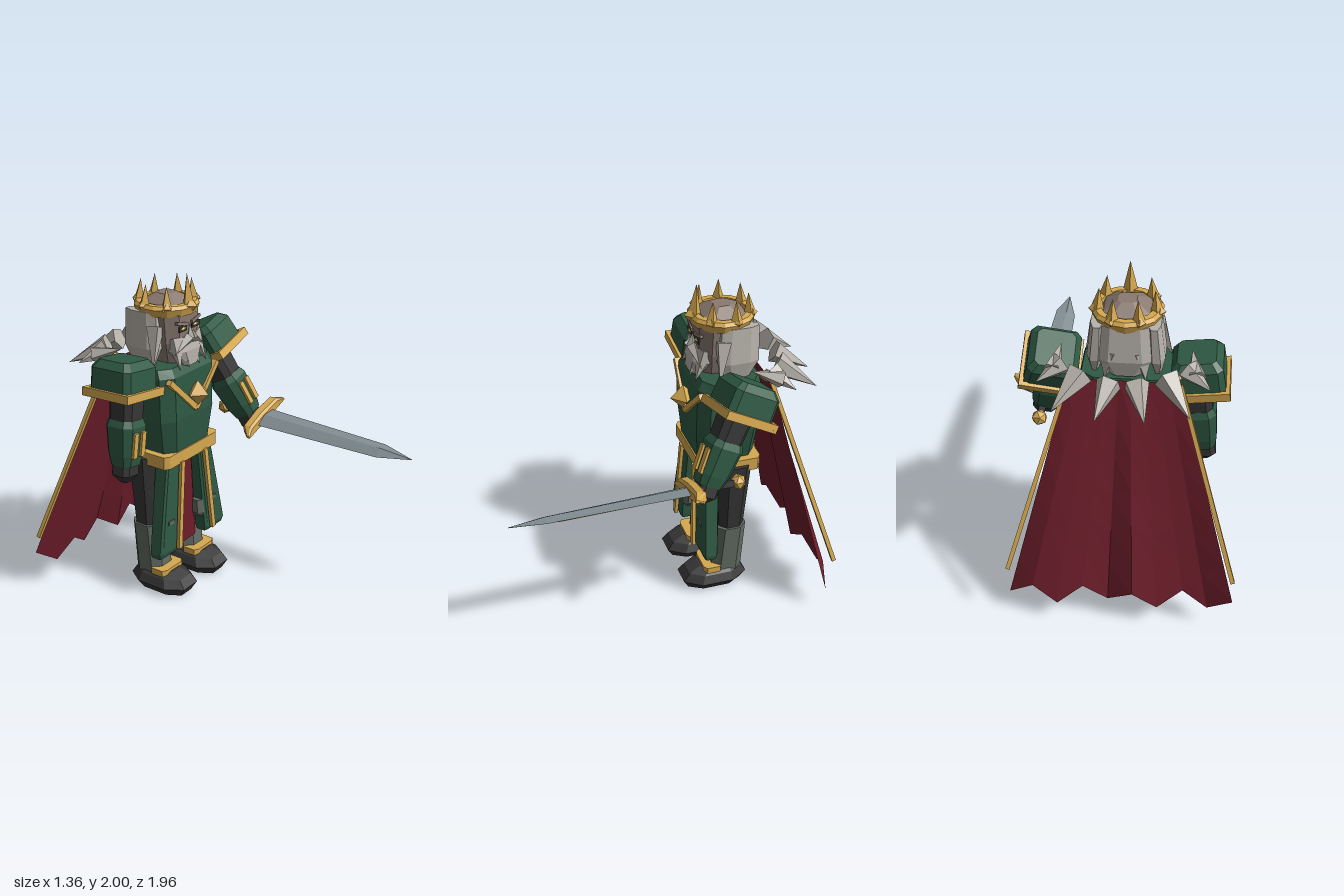
import * as THREE from 'three';

const paint = (name, color, extra = {}) =>
  new THREE.MeshStandardMaterial({ name, color, flatShading: true, ...extra });

const OCT = (k) => [[1, -k], [1, k], [k, 1], [-k, 1], [-1, k], [-1, -k], [-k, -1], [k, -1]];
const DIAMOND = [[1, 0], [0, 1], [-1, 0], [0, -1]];

// Stacked cross-sections, each ring [y, halfWidth, zCentre, halfDepth, xCentre], bottom to top.
function loft(rings, outline = OCT(0.6), s = 1) {
  const pos = [];
  const at = (r, i) => {
    const [y, hw, zc, hd, xc = 0] = r;
    const [px, pz] = outline[i % outline.length];
    return [xc * s + px * hw, y, zc + pz * hd];
  };
  const mid = (r) => [(r[4] || 0) * s, r[0], r[2]];
  const low = rings[0], top = rings[rings.length - 1];
  for (let i = 0; i < outline.length; i++) {
    for (let j = 0; j < rings.length - 1; j++) {
      const a = at(rings[j], i), b = at(rings[j + 1], i);
      const c = at(rings[j + 1], i + 1), d = at(rings[j], i + 1);
      pos.push(...a, ...b, ...c, ...a, ...c, ...d);
    }
    pos.push(...mid(top), ...at(top, i + 1), ...at(top, i));
    pos.push(...mid(low), ...at(low, i), ...at(low, i + 1));
  }
  const g = new THREE.BufferGeometry();
  g.setAttribute('position', new THREE.Float32BufferAttribute(pos, 3));
  g.computeVertexNormals();
  return g;
}

function add(parent, name, geometry, material, x = 0, y = 0, z = 0) {
  const m = new THREE.Mesh(geometry, material);
  m.name = name;
  m.position.set(x, y, z);
  parent.add(m);
  return m;
}

// Lays a y-aligned geometry, made by make(length), between two points.
function between(parent, name, a, b, material, make) {
  const A = new THREE.Vector3(...a), B = new THREE.Vector3(...b);
  const dir = B.clone().sub(A), len = dir.length();
  const m = add(parent, name, make(len), material);
  m.position.copy(A).add(B).multiplyScalar(0.5);
  m.quaternion.setFromUnitVectors(new THREE.Vector3(0, 1, 0), dir.normalize());
  return m;
}
const bar = (p, name, a, b, mat, w, d = w) =>
  between(p, name, a, b, mat, (l) => new THREE.BoxGeometry(w, l, d));
const spike = (p, name, a, b, mat, r, sides = 5) =>
  between(p, name, a, b, mat, (l) => new THREE.ConeGeometry(r, l, sides));
const gem = (p, name, r, mat, x, y, z) => add(p, name, new THREE.OctahedronGeometry(r), mat, x, y, z);

export function createModel() {
  const green = paint('green armour', 0x2f5a44);
  const gold = paint('gold', 0xd6a950);
  const black = paint('black cloth', 0x363636);
  const red = paint('red cloth', 0x6e1e2b, { side: THREE.DoubleSide });
  const hair = paint('grey hair', 0xb8b3ab);
  const skin = paint('skin', 0x8a7a71);
  const plate = paint('grey plate', 0x626c63);
  const steel = paint('steel', 0x838f93);

  const model = new THREE.Group();
  model.name = 'armouredKing';
  const body = new THREE.Group();
  body.name = 'body';
  body.position.x = -0.035;
  model.add(body);

  // Torso, belt and chest ornament
  add(body, 'torso', loft([[0.9, 0.21, -0.41, 0.17], [1.15, 0.255, -0.41, 0.195],
    [1.42, 0.255, -0.41, 0.19], [1.47, 0.24, -0.42, 0.17]], OCT(0.7)), green);
  add(body, 'belt', loft([[0.86, 0.262, -0.415, 0.187], [0.94, 0.262, -0.415, 0.187]], OCT(0.88)), gold);
  gem(body, 'chestGem', 0.078, gold, 0, 1.285, -0.19);
  add(body, 'loincloth', loft([[0.25, 0.14, -0.39, 0.08], [0.88, 0.08, -0.38, 0.08]], OCT(0.8)), red);

  for (const s of [-1, 1]) {
    bar(body, 'chestTrim', [0, 1.185, -0.21], [s * 0.23, 1.41, -0.225], gold, 0.034);

    // Legs and boots
    add(body, 'boot', loft([[0, 0.095, -0.345, 0.17, 0.165], [0.06, 0.135, -0.345, 0.205, 0.165],
      [0.11, 0.11, -0.35, 0.17, 0.165], [0.14, 0.07, -0.37, 0.12, 0.165]], OCT(0.5), s), black);
    add(body, 'ankleTrim', loft([[0.12, 0.1, -0.325, 0.06, 0.165], [0.16, 0.1, -0.325, 0.06, 0.165]], OCT(0.7), s), gold);
    add(body, 'greave', loft([[0.1, 0.09, -0.42, 0.1, 0.165], [0.44, 0.1, -0.44, 0.098, 0.165]], OCT(0.5), s), plate);
    add(body, 'kneePlate', loft([[0.39, 0.06, -0.3, 0.045, 0.165], [0.42, 0.08, -0.3, 0.055, 0.165],
      [0.51, 0.08, -0.3, 0.05, 0.165]], OCT(0.6), s), plate);
    add(body, 'kneeRidge', new THREE.BoxGeometry(0.055, 0.025, 0.02), plate, s * 0.215, 0.495, -0.246);
    add(body, 'thigh', loft([[0.42, 0.085, -0.445, 0.078, 0.165], [0.9, 0.12, -0.45, 0.105, 0.165]], OCT(0.5), s), black);

    // Skirt plates
    add(body, 'skirtPlate', loft([[0.28, 0.095, -0.28, 0.035, 0.23], [0.31, 0.1, -0.28, 0.045, 0.23],
      [0.87, 0.066, -0.305, 0.05, 0.155]], OCT(0.8), s), green);
    bar(body, 'skirtTrim', [s * 0.175, 0.31, -0.213], [s * 0.115, 0.87, -0.227], gold, 0.034, 0.022);

    // Hair, moustache and beard locks
    add(body, 'sideHair', loft([[1.46, 0.02, -0.45, 0.07, 0.17], [1.57, 0.045, -0.46, 0.12, 0.165],
      [1.78, 0.035, -0.47, 0.11, 0.15]], OCT(0.5), s), hair);
    spike(body, 'hairLock', [s * 0.16, 1.7, -0.37], [s * 0.24, 1.46, -0.33], hair, 0.055, 4);
    spike(body, 'backLock', [s * 0.08, 1.62, -0.54], [s * 0.11, 1.46, -0.58], hair, 0.07, 4);
    spike(body, 'moustache', [s * 0.015, 1.625, -0.235], [s * 0.14, 1.54, -0.25], hair, 0.035, 4);
    spike(body, 'beardLock', [s * 0.085, 1.62, -0.29], [s * 0.125, 1.45, -0.22], hair, 0.055, 4);
    spike(body, 'beardLock', [s * 0.035, 1.58, -0.28], [s * 0.05, 1.45, -0.21], hair, 0.05, 4);

    // Eyes and brows
    add(body, 'eyeSocket', new THREE.BoxGeometry(0.07, 0.035, 0.008), black, s * 0.06, 1.685, -0.249);
    add(body, 'eye', new THREE.OctahedronGeometry(0.024).scale(1.2, 0.6, 0.5), gold, s * 0.058, 1.683, -0.245);
    bar(body, 'brow', [s * 0.02, 1.705, -0.247], [s * 0.11, 1.725, -0.257], skin, 0.018);

    // Fur collar points, each with base, tip and radius
    const collar = [
      [[0.07, 1.54, -0.72], [0.13, 1.43, -0.92], 0.07], [[0.23, 1.55, -0.67], [0.36, 1.44, -0.87], 0.075],
      [[0.33, 1.56, -0.6], [0.46, 1.5, -0.7], 0.065], [[0.38, 1.54, -0.64], [0.35, 1.6, -0.47], 0.055],
    ];
    for (const [a, b, r] of collar)
      spike(body, 'furPoint', [s * a[0], a[1], a[2]], [s * b[0], b[1], b[2]], hair, r);
    gem(body, 'capeClasp', 0.045, gold, s * 0.26, 1.5, -0.6);

    // Arms, hung from the shoulder; the left one reaches forward
    const arm = new THREE.Group();
    arm.name = s > 0 ? 'leftArm' : 'rightArm';
    arm.position.set(s > 0 ? 0.37 : -0.352, 1.49, -0.43);
    arm.rotation.set(s > 0 ? -0.48 : -0.04, 0, s > 0 ? 0.23 : -0.13);
    body.add(arm);
    add(arm, 'pauldron', loft([[-0.14, 0.145, 0, 0.15, 0.03], [0.02, 0.14, 0, 0.145, 0.03],
      [0.065, 0.105, 0, 0.11, 0.03]], OCT(0.78), s), green);
    // Pauldron rim: an open frame of four bars
    for (const e of [-1, 1]) {
      add(arm, 'pauldronRim', new THREE.BoxGeometry(0.33, 0.05, 0.025), gold, s * 0.03, -0.125, e * 0.155);
      add(arm, 'pauldronRim', new THREE.BoxGeometry(0.025, 0.05, 0.335), gold, s * 0.03 + e * 0.152, -0.125, 0);
    }
    add(arm, 'upperArm', loft([[-0.38, 0.078, 0, 0.08], [-0.1, 0.09, 0, 0.09]]), black);
    add(arm, 'bracer', loft([[-0.57, 0.07, 0, 0.075], [-0.5, 0.086, 0, 0.088], [-0.33, 0.1, 0, 0.1],
      [-0.29, 0.085, 0, 0.085]]), green);
    for (const x of [-0.034, 0.034])
      bar(arm, 'bracerStripe', [x, -0.51, 0.092], [x, -0.36, 0.102], gold, 0.036, 0.022);
    add(arm, 'hand', loft([[-0.68, 0.025, 0, 0.025], [-0.63, 0.07, 0, 0.065], [-0.56, 0.065, 0, 0.065]]), black);
  }

  // Head
  add(body, 'head', loft([[1.46, 0.1, -0.4, 0.12], [1.6, 0.14, -0.4, 0.145], [1.77, 0.15, -0.41, 0.16],
    [1.82, 0.12, -0.41, 0.125], [1.865, 0.05, -0.41, 0.05]]), skin);
  spike(body, 'nose', [0, 1.62, -0.235], [0, 1.7, -0.245], hair, 0.028, 4);
  add(body, 'beard', loft([[1.46, 0.06, -0.28, 0.06], [1.55, 0.12, -0.3, 0.08], [1.63, 0.09, -0.3, 0.06]]), hair);
  add(body, 'backHair', loft([[1.48, 0.08, -0.53, 0.05], [1.58, 0.15, -0.52, 0.08], [1.78, 0.13, -0.51, 0.07]]), hair);

  // Crown
  const crown = new THREE.Group();
  crown.name = 'crown';
  crown.position.set(0, 1.76, -0.41);
  body.add(crown);
  const band = [[0.165, 0], [0.18, 0], [0.195, 0.045], [0.18, 0.065], [0.145, 0.065], [0.145, 0], [0.165, 0]];
  add(crown, 'crownBand', new THREE.LatheGeometry(band.map((p) => new THREE.Vector2(...p)), 14), gold);
  for (let i = 0; i < 7; i++) {
    const a = (i / 7) * Math.PI * 2, x = Math.sin(a), z = Math.cos(a);
    spike(crown, 'crownPoint', [x * 0.163, 0.04, z * 0.163],
      [x * 0.15, i ? 0.178 : 0.24, z * 0.15], gold, i ? 0.04 : 0.044, 4);
    gem(crown, 'crownGem', i ? 0.032 : 0.045, gold, x * 0.178, 0.055, z * 0.178);
  }

  // Cape: a flaring sheet with growing folds and a jagged hem
  const cols = 9, rows = 6, pts = [], idx = [];
  for (let j = 0; j <= rows; j++) {
    for (let i = 0; i <= cols; i++) {
      const v = j / rows, u = i / cols;
      const hem = i % 2 ? 0.14 : 0.24;
      const x = (u * 2 - 1) * (0.3 + 0.34 * v);
      const fold = Math.cos(u * 1.28 / 0.51 * Math.PI * 2);
      pts.push(x, 1.48 + (hem - 1.48) * v, -0.62 - 0.33 * v - 0.034 * v * fold);
      if (i < cols && j < rows) {
        const a = j * (cols + 1) + i, b = a + cols + 1;
        idx.push(a, a + 1, b, a + 1, b + 1, b);
      }
    }
  }
  const sheet = new THREE.BufferGeometry();
  sheet.setAttribute('position', new THREE.Float32BufferAttribute(pts, 3));
  sheet.setIndex(idx);
  sheet.computeVertexNormals();
  add(body, 'cape', sheet, red);
  for (const s of [-1, 1])
    bar(body, 'capeTrim', [s * 0.3, 1.47, -0.62], [s * 0.635, 0.36, -0.95], gold, 0.024);

  // Sword, held level and pointing forward
  const sword = new THREE.Group();
  sword.name = 'sword';
  sword.position.set(0.48, 0.982, -0.08);
  sword.rotation.set(0.02, 0, 0.33);
  model.add(sword);
  const blade = loft([[0.02, 0.085, 0, 0.022], [0.85, 0.062, 0, 0.02], [1.055, 0.002, 0, 0.002]], DIAMOND);
  add(sword, 'blade', blade.rotateX(Math.PI / 2), steel);
  bar(sword, 'bladeInlay', [0, -0.02, 0.04], [0, -0.018, 0.78], gold, 0.016, 0.01);
  const guard = loft([[-0.205, 0.008, 0.035, 0.012], [-0.15, 0.038, 0, 0.034], [0, 0.044, -0.005, 0.036],
    [0.15, 0.038, 0, 0.034], [0.205, 0.008, 0.035, 0.012]]);
  add(sword, 'guard', guard.rotateZ(Math.PI / 2), gold);
  bar(sword, 'grip', [0, 0, -0.25], [0, 0, 0], black, 0.04);
  add(sword, 'pommel', new THREE.IcosahedronGeometry(0.048), gold, 0, 0, -0.275);

  return model;
}
